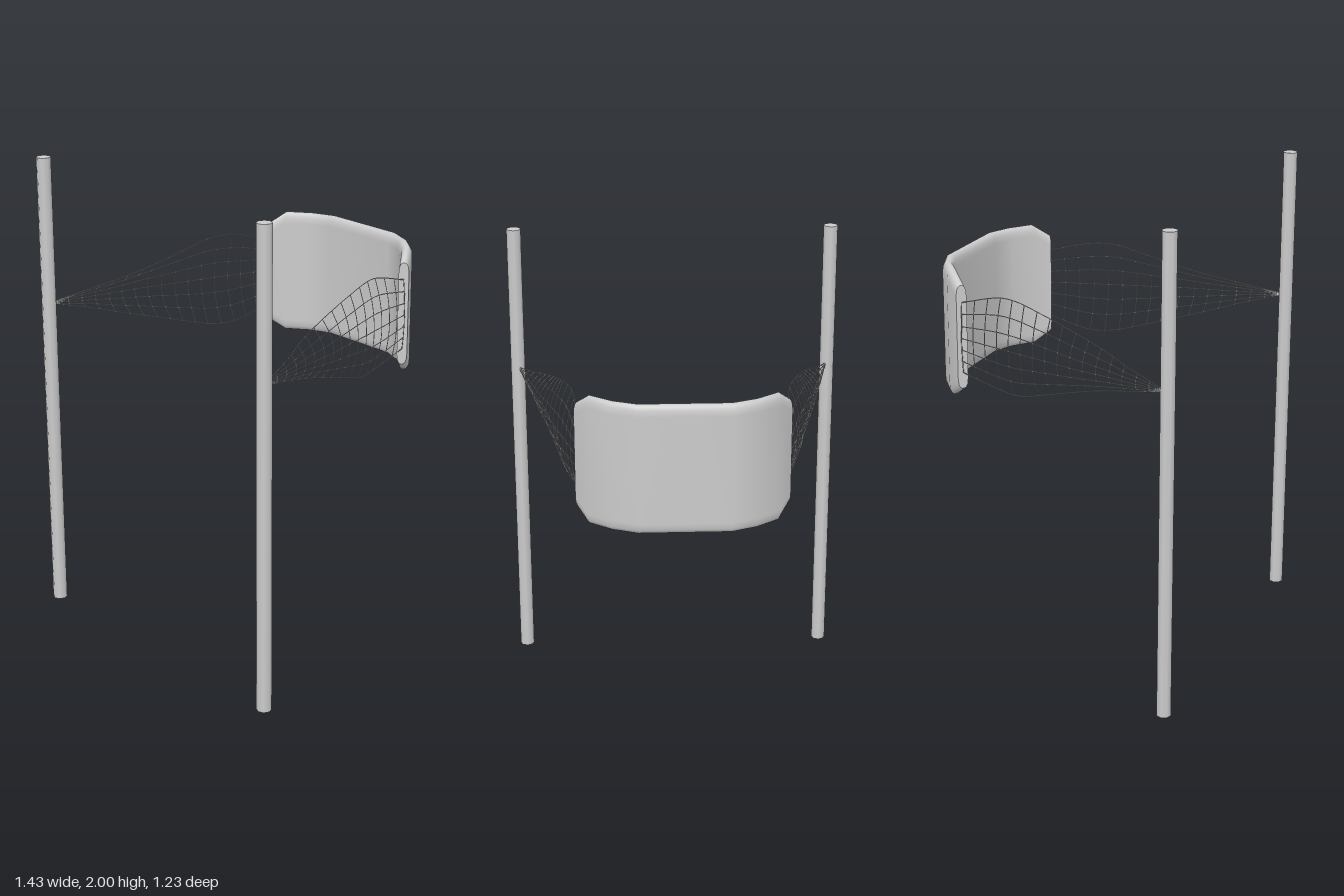
import * as THREE from 'three';
import { mergeGeometries } from 'three/addons/utils/BufferGeometryUtils.js';

const MID_Y = 1.37;
const mat = new THREE.MeshStandardMaterial({ color: 0xcccccc });
const padMat = new THREE.MeshStandardMaterial({ color: 0xcccccc, side: THREE.DoubleSide });

// Net sections, pad end to post: z, x of the middle strand, x of the edge strands, half height
const NET = [
  [-0.42, 0.43, 0.42, 0.15],
  [-0.26, 0.475, 0.43, 0.195],
  [-0.2, 0.492, 0.446, 0.2],
  [-0.14, 0.51, 0.468, 0.2],
  [0.02, 0.552, 0.495, 0.155],
  [0.16, 0.592, 0.523, 0.113],
  [0.29, 0.615, 0.563, 0.077],
  [0.38, 0.637, 0.607, 0.051],
  [0.56, 0.674, 0.672, 0.006],
];

// Point of the net at depth z; u runs from -1 (bottom edge) to 1 (top edge)
function netPoint(side, z, u) {
  let i = 0;
  while (i < NET.length - 2 && z > NET[i + 1][0]) i++;
  const a = NET[i], b = NET[i + 1];
  const t = (z - a[0]) / (b[0] - a[0]);
  const [, mid, edge, half] = a.map((v, k) => THREE.MathUtils.lerp(v, b[k], t));
  return new THREE.Vector3(side * THREE.MathUtils.lerp(mid, edge, u * u), MID_Y + u * half, z);
}

function cord(points, segments) {
  return new THREE.TubeGeometry(new THREE.CatmullRomCurve3(points), segments, 0.002, 4);
}

// Seven lengthwise cords crossed by evenly spaced ones
function netGeometry(side) {
  const rows = 17, strands = 7, cords = [];
  const zs = Array.from({ length: rows }, (_, i) => THREE.MathUtils.lerp(-0.42, 0.56, i / (rows - 1)));
  const us = Array.from({ length: strands }, (_, j) => (j / (strands - 1)) * 2 - 1);
  for (const u of us) cords.push(cord(zs.map((z) => netPoint(side, z, u)), 32));
  for (const z of zs) cords.push(cord(us.map((u) => netPoint(side, z, u)), 12));
  return mergeGeometries(cords);
}

// Curved pad: a rounded upright section swept round the back, lower at both ends
function padGeometry() {
  // outer x, outer z, inner x, inner z, half height
  const half = [
    [0.185, -0.618, 0.18, -0.567, 0.27],
    [0.29, -0.575, 0.272, -0.53, 0.27],
    [0.382, -0.506, 0.358, -0.465, 0.27],
    [0.43, -0.44, 0.402, -0.408, 0.22],
  ];
  const stations = [
    ...half.map(([a, b, c, d, h]) => [-a, b, -c, d, h]).reverse(),
    ...half,
  ];
  // Section: offset across the thickness (-1 inner, 1 outer), drop from the full height
  const quarter = [[1, 0.045], [0.9, 0.02], [0.6, 0.005], [0.2, 0]];
  const top = [...quarter, ...quarter.map(([n, d]) => [-n, d]).reverse()];
  const section = [
    ...top.map(([n, d]) => [n, 1, d]),
    ...top.map(([n, d]) => [-n, -1, d]),
  ];
  const N = section.length, pos = [], index = [];
  const addRing = ([ox, oz, ix, iz, h]) => {
    for (const [n, s, d] of section) {
      const t = (n + 1) / 2;
      pos.push(THREE.MathUtils.lerp(ix, ox, t), MID_Y + s * (h - d), THREE.MathUtils.lerp(iz, oz, t));
    }
  };
  stations.forEach(addRing);
  for (let i = 0; i < stations.length - 1; i++) {
    for (let j = 0; j < N; j++) {
      const a = i * N + j, b = i * N + ((j + 1) % N);
      index.push(a, b, b + N, a, b + N, a + N);
    }
  }
  // Flat ends
  [stations[0], stations[stations.length - 1]].forEach((s, e) => {
    const start = pos.length / 3;
    addRing(s);
    for (let j = 1; j < N - 1; j++) {
      if (e) index.push(start, start + j, start + j + 1);
      else index.push(start, start + j + 1, start + j);
    }
  });
  const g = new THREE.BufferGeometry();
  g.setAttribute('position', new THREE.Float32BufferAttribute(pos, 3));
  g.setIndex(index);
  g.computeVertexNormals();
  return g;
}

export function createModel() {
  const model = new THREE.Group();
  model.name = 'slingStand';
  const add = (name, geometry, material = mat) => {
    const mesh = new THREE.Mesh(geometry, material);
    mesh.name = name;
    model.add(mesh);
    return mesh;
  };

  add('pad', padGeometry(), padMat);
  for (const [label, side] of [['left', 1], ['right', -1]]) {
    const post = add(label + 'Post', new THREE.CylinderGeometry(0.031, 0.031, 2, 8));
    post.position.set(side * 0.683, 1, 0.585);
    add(label + 'Net', netGeometry(side));
  }
  return model;
}
